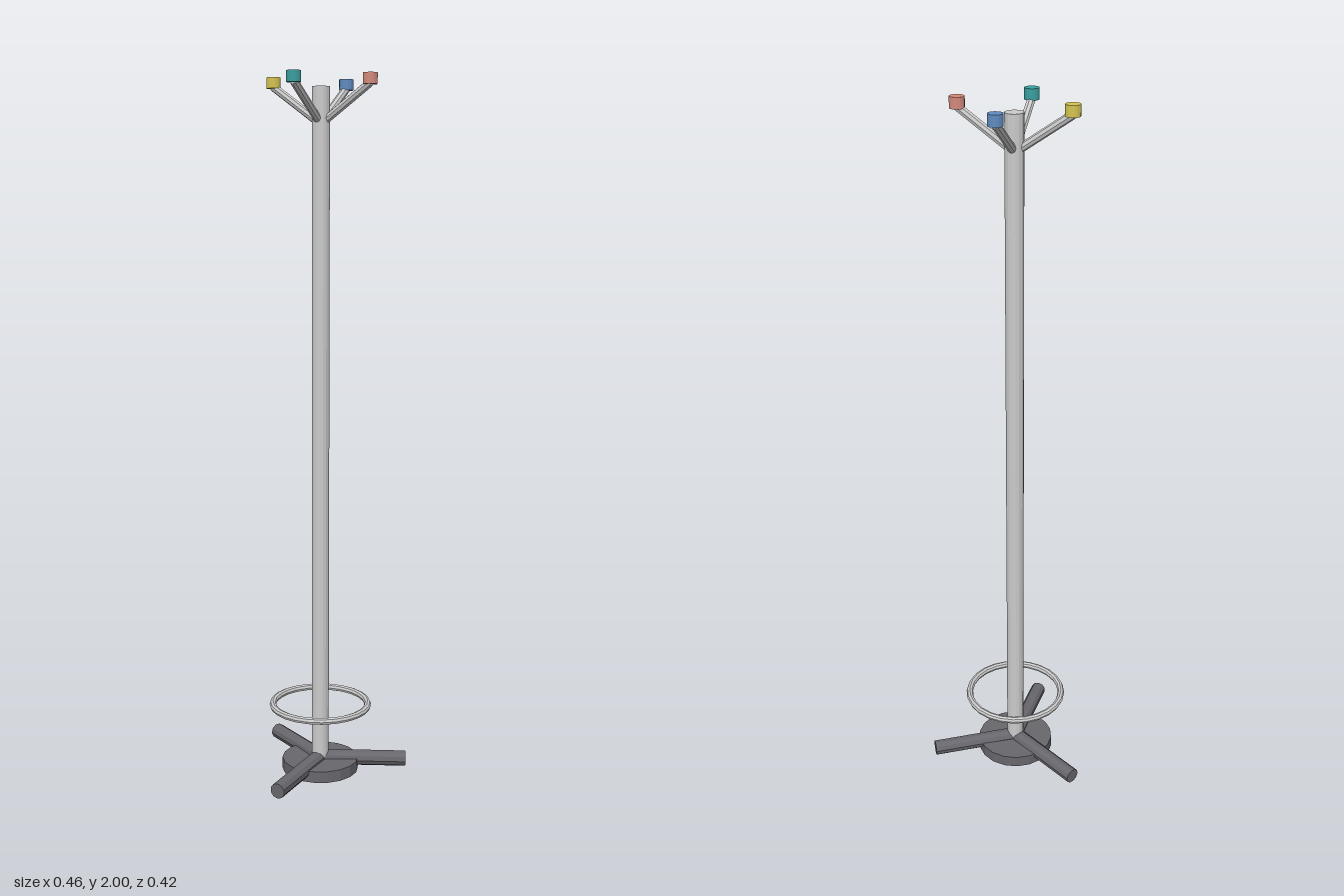
import * as THREE from 'three';

const material = (color) => new THREE.MeshStandardMaterial({ color, flatShading: true });
const GREY = material(0xcccccc);
const DARK = material(0x67676d);

function add(parent, name, geometry, mat, x = 0, y = 0, z = 0) {
  const mesh = new THREE.Mesh(geometry, mat);
  mesh.name = name;
  mesh.position.set(x, y, z);
  parent.add(mesh);
  return mesh;
}

// Straight round bar between two points
function addBar(parent, name, from, to, radius, sides, mat) {
  const dir = to.clone().sub(from);
  const bar = add(parent, name, new THREE.CylinderGeometry(radius, radius, dir.length(), sides), mat);
  bar.position.copy(from).add(to).multiplyScalar(0.5);
  bar.quaternion.setFromUnitVectors(new THREE.Vector3(0, 1, 0), dir.normalize());
  return bar;
}

export function createModel() {
  const stand = new THREE.Group();
  stand.name = 'coatStand';
  stand.position.z = -0.043; // pole sits behind the centre of the footprint

  // Base disc and three gently sloping legs
  add(stand, 'baseDisc', new THREE.CylinderGeometry(0.112, 0.112, 0.034, 18), DARK, 0, 0.017, 0);
  for (let i = 0; i < 3; i++) {
    const a = (i * Math.PI * 2) / 3;
    addBar(stand, 'leg', new THREE.Vector3(0, 0.034, 0),
      new THREE.Vector3(Math.sin(a) * 0.253, 0.026, Math.cos(a) * 0.253), 0.0225, 10, DARK);
  }

  // Pole and umbrella ring
  add(stand, 'pole', new THREE.CylinderGeometry(0.025, 0.025, 1.94, 16), GREY, 0, 1.0, 0);
  const ring = add(stand, 'umbrellaRing', new THREE.TorusGeometry(0.14, 0.01, 8, 24), GREY, 0, 0.2, 0);
  ring.rotation.x = Math.PI / 2;

  // Four slanted arms with coloured end knobs: front, left, back, right
  [0x3aa0a0, 0xd48a7c, 0x5f8cc0, 0xd6c452].forEach((color, i) => {
    const a = (i * Math.PI) / 2;
    const x = Math.sin(a) * 0.15, z = Math.cos(a) * 0.15;
    addBar(stand, 'arm', new THREE.Vector3(0, 1.87, 0), new THREE.Vector3(x, 1.974, z), 0.0115, 8, GREY);
    add(stand, 'knob', new THREE.CylinderGeometry(0.02, 0.02, 0.03, 16), material(color), x, 1.985, z);
  });

  const model = new THREE.Group();
  model.name = 'model';
  model.add(stand);
  return model;
}
